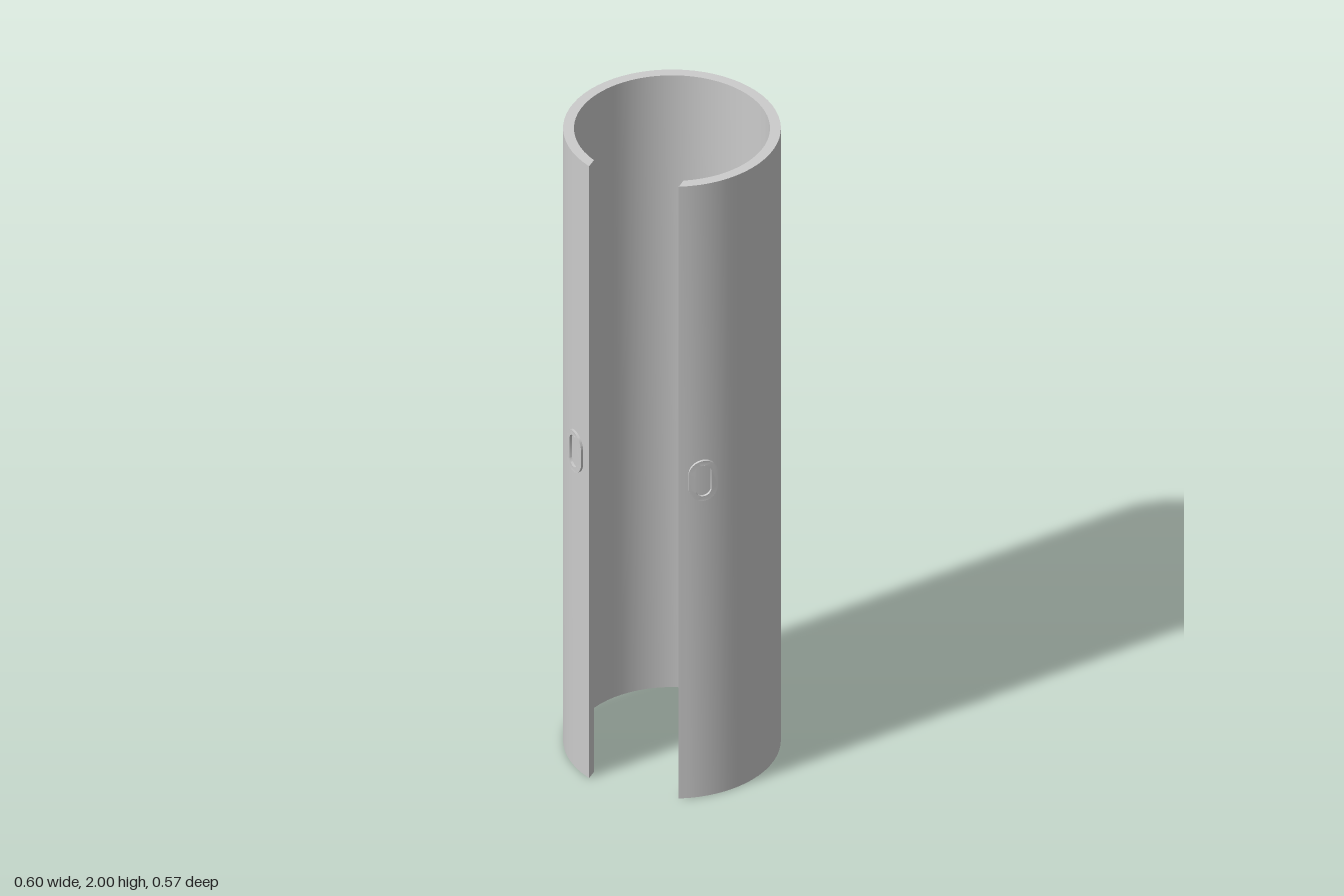
import * as THREE from 'three';
import { toCreasedNormals } from 'three/addons/utils/BufferGeometryUtils.js';

const OUTER = 0.3, INNER = 0.27, CENTER_Z = 0.0135, HEIGHT = 2, HALF_GAP = 0.134;

// Upright slot outline with rounded ends
function slotOutline(path, halfWidth, height) {
  const s = height / 2 - halfWidth;
  path.absarc(0, s, halfWidth, 0, Math.PI, false);
  path.absarc(0, -s, halfWidth, Math.PI, Math.PI * 2, false);
  path.closePath();
  return path;
}

export function createModel() {
  const group = new THREE.Group();
  group.name = 'splitTube';
  const material = new THREE.MeshStandardMaterial({ color: 0xcccccc });

  // Tube wall: C-shaped section with straight, parallel slit faces
  const section = new THREE.Shape();
  const arc = (radius, reverse) => {
    const start = Math.asin(HALF_GAP / radius), n = 56;
    for (let i = 0; i <= n; i++) {
      const t = reverse ? 1 - i / n : i / n;
      const a = start + t * (Math.PI * 2 - 2 * start);
      const x = Math.sin(a) * radius, y = -Math.cos(a) * radius;
      if (i === 0 && !reverse) section.moveTo(x, y);
      else section.lineTo(x, y);
    }
  };
  arc(OUTER, false);
  arc(INNER, true);
  section.closePath();
  const wall = new THREE.ExtrudeGeometry(section, { depth: HEIGHT, bevelEnabled: false });
  wall.rotateX(-Math.PI / 2);
  wall.translate(0, 0, CENTER_Z);
  const tube = new THREE.Mesh(toCreasedNormals(wall, 0.5), material);
  tube.name = 'tubeWall';
  group.add(tube);

  // Thin raised rims around the slots, bent onto the wall on both sides of the gap
  for (const side of [1, -1]) {
    const shape = slotOutline(new THREE.Shape(), 0.042, 0.13);
    shape.holes.push(slotOutline(new THREE.Path(), 0.023, 0.1));
    const rim = new THREE.ExtrudeGeometry(shape, { depth: 0.012, bevelEnabled: false, curveSegments: 12 });
    const p = rim.attributes.position;
    for (let i = 0; i < p.count; i++) {
      const a = side * 0.69 + p.getX(i) / 0.307;
      const r = 0.295 + p.getZ(i);
      p.setXYZ(i, Math.sin(a) * r, 1.035 + p.getY(i), CENTER_Z + Math.cos(a) * r);
    }
    const mesh = new THREE.Mesh(toCreasedNormals(rim, 0.6), material);
    mesh.name = side > 0 ? 'leftSlotRim' : 'rightSlotRim';
    group.add(mesh);
  }
  return group;
}
